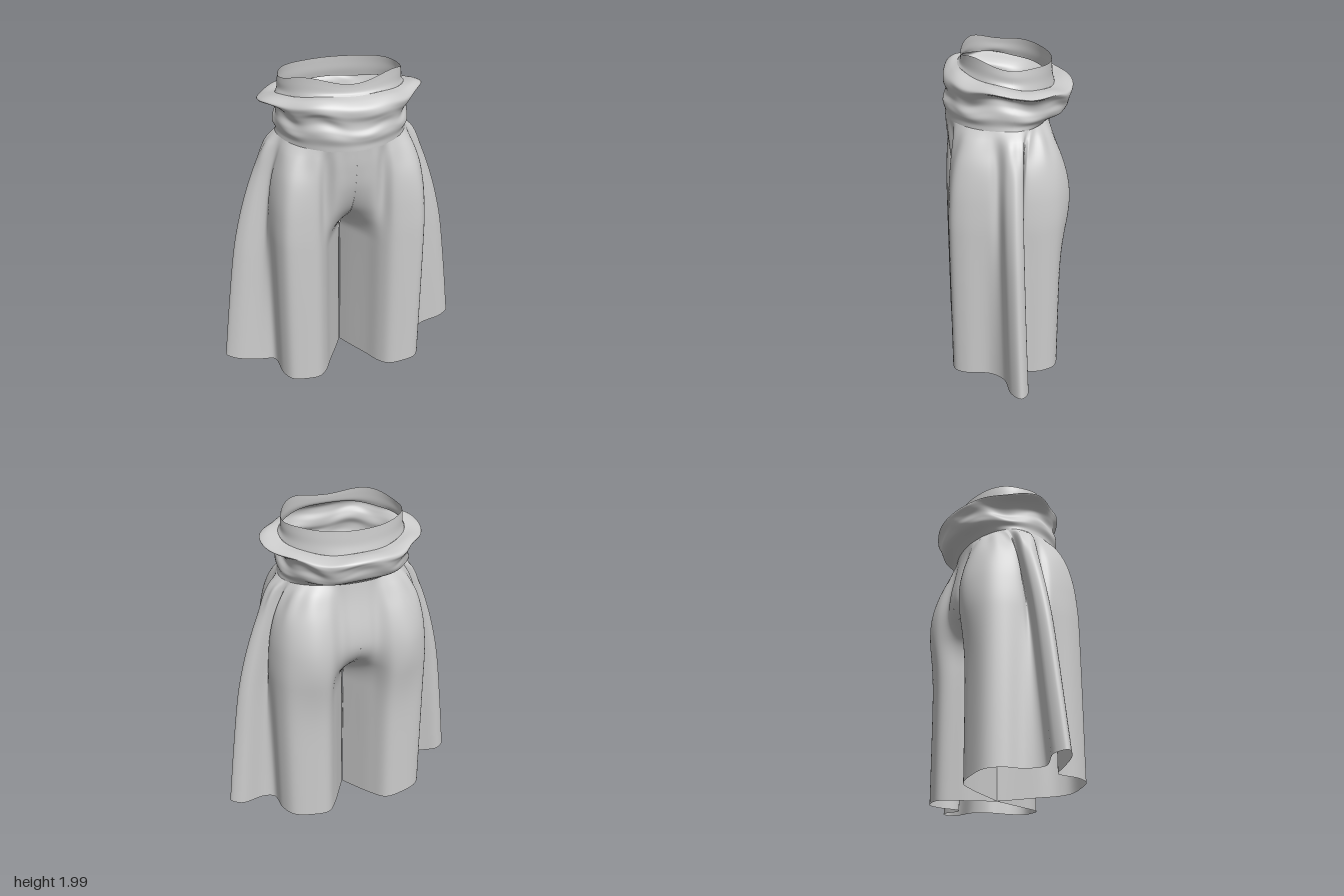
import * as THREE from 'three';

const cloth = new THREE.MeshStandardMaterial({ color: 0xcccccc, side: THREE.DoubleSide });

// Grid of rows of points -> smooth open surface
function loft(name, rows, flip = false) {
  const n = rows[0].length, pos = [], idx = [];
  rows.forEach(r => r.forEach(p => pos.push(p.x, p.y, p.z)));
  for (let j = 0; j < rows.length - 1; j++) {
    for (let i = 0; i < n - 1; i++) {
      const a = j * n + i, b = a + 1, c = a + n, d = c + 1;
      if (flip) idx.push(a, b, c, b, d, c);
      else idx.push(a, c, b, b, c, d);
    }
  }
  const g = new THREE.BufferGeometry();
  g.setAttribute('position', new THREE.Float32BufferAttribute(pos, 3));
  g.setIndex(idx);
  g.computeVertexNormals();
  const mesh = new THREE.Mesh(g, cloth);
  mesh.name = name;
  return mesh;
}

// Smooth curve through a table of [y, value], y descending
function lookup(table, y) {
  const last = table.length - 1;
  if (y >= table[0][0]) return table[0][1];
  if (y <= table[last][0]) return table[last][1];
  const i = table.findIndex(([h]) => h <= y);
  const slope = k => {
    const p = table[Math.max(k - 1, 0)], q = table[Math.min(k + 1, last)];
    return (q[1] - p[1]) / (q[0] - p[0]);
  };
  const [y0, v0] = table[i - 1], [y1, v1] = table[i], h = y1 - y0, t = (y - y0) / h;
  const t2 = t * t, t3 = t2 * t;
  return v0 * (2 * t3 - 3 * t2 + 1) + v1 * (3 * t2 - 2 * t3)
    + h * (slope(i - 1) * (t3 - 2 * t2 + t) + slope(i) * (t3 - t2));
}

// Oval with separate front and back depths; power below 1 squares it off
function oval(a, rx, front, back, power = 1) {
  const bend = v => Math.sign(v) * Math.abs(v) ** power;
  const s = bend(Math.sin(a));
  return [rx * bend(Math.cos(a)), s > 0 ? front * s : back * s];
}

const SEAM = 1.62;

// How far each kind of fold has opened from waist to hem at a height
const spread = {
  c: [[1.62, 0], [1.5, 0.02], [1.35, 0.09], [1.2, 0.27], [1.1, 0.52], [1.0, 0.87], [0.93, 1], [0, 1]],  // front crotch
  b: [[1.62, 0], [1.25, 0], [1.15, 0.08], [1.07, 0.3], [1.0, 0.65], [0.93, 0.9], [0.85, 1], [0, 1]],    // back crotch
  l: [[1.62, 0], [1.57, 0.25], [1.5, 0.48], [1.42, 0.68], [1.32, 0.83], [1.2, 0.93], [1.0, 1], [0, 1]], // front and back folds
  f: [[1.62, 0], [1.57, 0.14], [1.5, 0.24], [1.4, 0.34], [1.2, 0.51], [1.0, 0.645], [0.8, 0.745], [0.4, 0.88], [0, 1]], // side fold
};

// Hem outline from the inner seam round the front, side and back
const hem = [
  ['c', 0.002, 0], ['c', 0.045, 0.08], ['c', 0.12, 0.21], ['l', 0.175, 0.31], ['l', 0.23, 0.362],
  ['l', 0.32, 0.374], ['l', 0.41, 0.36], ['l', 0.455, 0.29], ['l', 0.48, 0.15],
  ['f', 0.56, 0.085], ['f', 0.72, 0.055], ['f', 0.785, 0], ['f', 0.72, -0.05], ['f', 0.56, -0.015],
  ['l', 0.495, -0.05], ['l', 0.48, -0.17], ['l', 0.43, -0.255], ['l', 0.31, -0.29], ['l', 0.20, -0.285],
  ['b', 0.125, -0.2], ['b', 0.05, -0.08], ['b', 0.002, 0],
];

// The side fold swings from highZ near the waist to lowZ at the hem
function leg(name, side, highZ, lowZ) {
  const rows = [], ROWS = 70, COLS = 130;
  for (let j = 0; j <= ROWS; j++) {
    const v = j / ROWS, level = SEAM * v;
    const round = Math.exp(-(((level - 1.2) / 0.3) ** 2));
    const pts = hem.map(([kind, hx, hz], i) => {
      const a = Math.PI * (0.5 - i / (hem.length - 1));
      const [wx, wz] = oval(a, 0.385, 0.37, 0.23);
      const k = lookup(spread[kind], level);
      const hemY = 0.012 + 0.11 * hx;
      let z = wz + (hz + (kind === 'f' ? lowZ + (highZ - lowZ) * v : 0) - wz) * k;
      // Rounded seat, carried across the middle of the back
      if (kind === 'b') z *= 1 + round * 0.32 * (1 - k);
      else if (kind === 'l' && z < -0.1) z *= 1 + round * (hx > 0.4 ? 0.07 : 0.19);
      return new THREE.Vector3(wx + (hx - wx) * k, hemY + (SEAM - hemY) * v, z);
    });
    const curve = new THREE.CatmullRomCurve3(pts);
    // Small gathers fading out below the waist seam
    const gather = 0.018 * Math.exp(-(((level - 1.52) / 0.1) ** 2)) * Math.min(1, (SEAM - level) / 0.04);
    const row = [];
    for (let i = 0; i <= COLS; i++) {
      const u = i / COLS, p = curve.getPoint(u);
      const s = 1 + gather * Math.sin(u * 62 + 3 * Math.sin(u * 9)) * Math.sin(Math.PI * u);
      row.push(new THREE.Vector3(p.x * s * side, p.y, p.z * s));
    }
    rows.push(row);
  }
  return loft(name, rows, side < 0);
}

// Ring profile [y, half width, front, back, tilt, side flap, wrinkle, power]
const gathers = [
  [1.615, 0.385, 0.37, 0.23, 0, 0, 0, 1], [1.645, 0.38, 0.37, 0.27, 0.003, 0, 0.001, 0.96],
  [1.68, 0.39, 0.378, 0.33, 0.01, 0, 0.005, 0.92], [1.71, 0.385, 0.376, 0.35, 0.012, 0, 0.008, 0.9],
  [1.745, 0.372, 0.36, 0.36, 0.015, 0, 0.01, 0.88], [1.78, 0.378, 0.365, 0.372, 0.018, 0, 0.009, 0.86],
  [1.81, 0.39, 0.378, 0.38, 0.025, 0.03, 0.007, 0.85], [1.835, 0.405, 0.372, 0.37, 0.035, 0.08, 0.006, 0.86],
  [1.855, 0.39, 0.335, 0.33, 0.045, 0.055, 0.005, 0.9], [1.86, 0.365, 0.29, 0.27, 0.05, 0.01, 0.002, 1],
];
const band = [
  [1.86, 0.365, 0.29, 0.27, 0.05, 0.01, 0.002, 1], [1.89, 0.362, 0.278, 0.26, 0.035, 0, 0, 1],
  [1.93, 0.36, 0.272, 0.256, 0.028, 0, 0, 1], [1.967, 0.355, 0.27, 0.253, 0.025, 0, 0, 1],
];

function ring(name, profile, steps, rimWave) {
  const COLS = 144, rows = Array.from({ length: steps + 1 }, () => []);
  for (let i = 0; i <= COLS; i++) {
    const a = -2 * Math.PI * i / COLS, s = Math.sin(a), c = Math.cos(a);
    const column = profile.map(([y, rx, front, back, tilt, flap, wrinkle, power], j) => {
      const w = 1 + wrinkle * (Math.sin(4 * a + j * 0.7) + Math.sin(9 * a - j * 1.7));
      const [x, z] = oval(a, rx * w, front * w, back * w, power);
      const out = flap * Math.abs(c) ** 10 * Math.sign(c);
      // Rim dips at the middle of the front and rises either side of it
      const rim = -rimWave * (j / (profile.length - 1)) * Math.cos(4 * a) * (0.5 + 0.5 * s);
      const sag = wrinkle * 1.3 * (Math.sin(3 * a + 1) + Math.sin(7 * a));
      return new THREE.Vector3(x + out, y + tilt * s + rim + sag, z);
    });
    const curve = new THREE.CatmullRomCurve3(column);
    rows.forEach((r, j) => r.push(curve.getPoint(j / steps)));
  }
  return loft(name, rows);
}

export function createModel() {
  const model = new THREE.Group();
  model.name = 'wideTrousers';
  model.add(
    leg('leftLeg', 1, 0.03, -0.015),
    leg('rightLeg', -1, 0.02, 0.055),
    ring('gatheredWaist', gathers, 54, 0),
    ring('upperBand', band, 14, 0.022),
  );
  return model;
}
